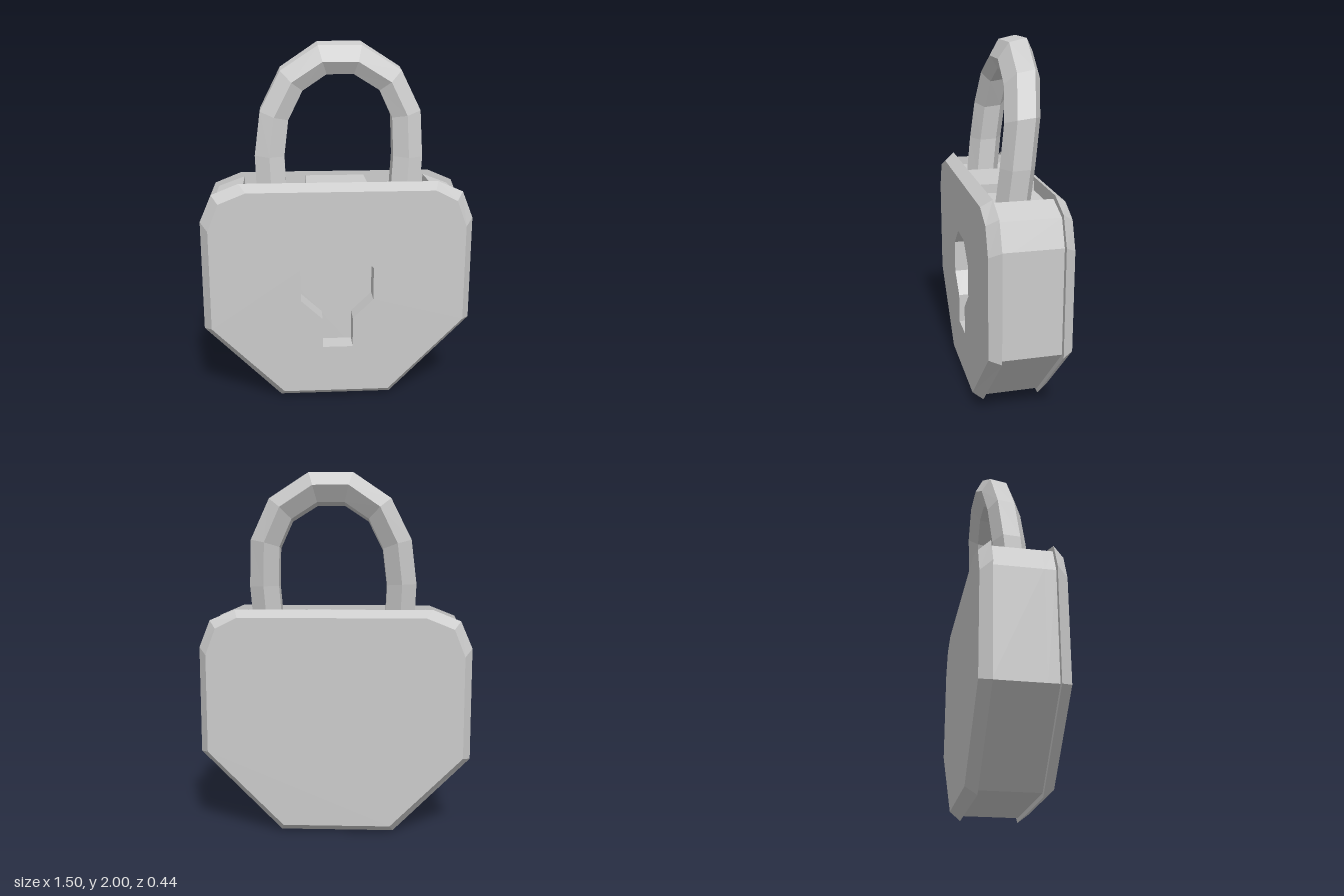
import * as THREE from 'three';

const grey = new THREE.MeshStandardMaterial({ color: 0xcccccc, flatShading: true });
const vectors = (points) => points.map(([x, y]) => new THREE.Vector2(x, y));

// Plate outline at its wide inner rim, and the inset outline of its flat face
const rim = [[-0.54, 1.26], [-0.69, 1.2], [-0.755, 1.05], [-0.755, 0.43], [-0.33, 0.005],
  [0.3, 0.005], [0.75, 0.46], [0.75, 1.05], [0.69, 1.2], [0.55, 1.26]];
const face = [[-0.5, 1.22], [-0.65, 1.16], [-0.71, 1.01], [-0.71, 0.445], [-0.31, 0.05],
  [0.285, 0.05], [0.705, 0.47], [0.705, 1.015], [0.65, 1.16], [0.53, 1.22]];

// Core outline, with a shallow slot in the top for each leg of the shackle
const slot = 1.185;
const core = [[-0.52, 1.235], [-0.67, 1.18], [-0.725, 1.04], [-0.725, 0.44], [-0.32, 0.03],
  [0.29, 0.03], [0.72, 0.465], [0.72, 1.04], [0.665, 1.18], [0.52, 1.235],
  [0.52, slot], [0.17, slot], [0.17, 1.235], [-0.17, 1.235], [-0.17, slot], [-0.52, slot]];

const keyhole = [[-0.09, 0.895], [0.08, 0.895], [0.195, 0.785], [0.195, 0.6], [0.08, 0.49],
  [0.08, 0.32], [-0.09, 0.32], [-0.09, 0.49], [-0.21, 0.6], [-0.21, 0.785]];

// Centre line of the shackle, from the right leg over to the left
const hoop = [[-0.362, 1.185], [-0.37, 1.39], [-0.342, 1.61], [-0.245, 1.8], [-0.075, 1.912],
  [0.12, 1.912], [0.3, 1.8], [0.388, 1.615], [0.397, 1.38], [0.383, 1.185]];

function slab(outline, z0, z1, hole) {
  const shape = new THREE.Shape(vectors(outline));
  if (hole) shape.holes.push(new THREE.Path(vectors(hole)));
  const geometry = new THREE.ExtrudeGeometry(shape, { depth: z1 - z0, bevelEnabled: false });
  return geometry.translate(0, 0, z0);
}

// A slab whose outline shrinks from the rim to the face on its outer side
function plate(z0, z1, zFace, hole) {
  const geometry = slab(rim, z0, z1, hole);
  const p = geometry.attributes.position;
  for (let i = 0; i < p.count; i++) {
    if (Math.abs(p.getZ(i) - zFace) > 1e-4) continue;
    const k = rim.findIndex(([x, y]) => Math.hypot(p.getX(i) - x, p.getY(i) - y) < 1e-4);
    if (k >= 0) p.setXY(i, face[k][0], face[k][1]);
  }
  geometry.computeVertexNormals();
  return geometry;
}

// Hexagonal bar swept along the hoop and leaning backwards
function shackleGeometry() {
  const sides = 6, radius = 0.094, base = 1.235;
  const path = vectors(hoop);
  const positions = [], index = [];
  path.forEach((point, i) => {
    const into = point.clone().sub(path[Math.max(i - 1, 0)]).normalize();
    const out = path[Math.min(i + 1, path.length - 1)].clone().sub(point).normalize();
    const along = into.add(out).normalize();
    for (let j = 0; j < sides; j++) {
      const a = (j / sides) * Math.PI * 2;
      const side = Math.sin(a) * radius, depth = Math.cos(a) * radius;
      const x = point.x - along.y * side;
      const y = point.y + along.x * side;
      const lift = Math.max(0, y - base);
      positions.push(x, y - 0.28 * depth * lift, depth + 0.01 - 0.105 * (y - base));
      if (i === 0) continue;
      const b = i * sides + j, c = i * sides + (j + 1) % sides;
      index.push(b - sides, b, c, b - sides, c, c - sides);
    }
  });
  // End caps
  const last = (path.length - 1) * sides;
  for (let j = 1; j < sides - 1; j++) {
    index.push(0, j, j + 1, last, last + j + 1, last + j);
  }
  const geometry = new THREE.BufferGeometry();
  geometry.setAttribute('position', new THREE.Float32BufferAttribute(positions, 3));
  geometry.setIndex(index);
  const flat = geometry.toNonIndexed();
  flat.computeVertexNormals();
  return flat;
}

export function createModel() {
  const model = new THREE.Group();
  model.name = 'padlock';
  const add = (name, geometry, material = grey) => {
    const mesh = new THREE.Mesh(geometry, material);
    mesh.name = name;
    model.add(mesh);
  };

  // Body: two bevelled plates around a narrower core, the keyhole sunk into the front
  add('frontPlate', plate(0.16, 0.22, 0.22, keyhole));
  add('backPlate', plate(-0.22, -0.16, -0.22));
  add('coreBack', slab(core, -0.16, 0.1));
  add('coreFront', slab(core, 0.1, 0.16, keyhole));

  const shackleMaterial = grey.clone();
  shackleMaterial.side = THREE.DoubleSide;
  add('shackle', shackleGeometry(), shackleMaterial);
  return model;
}
